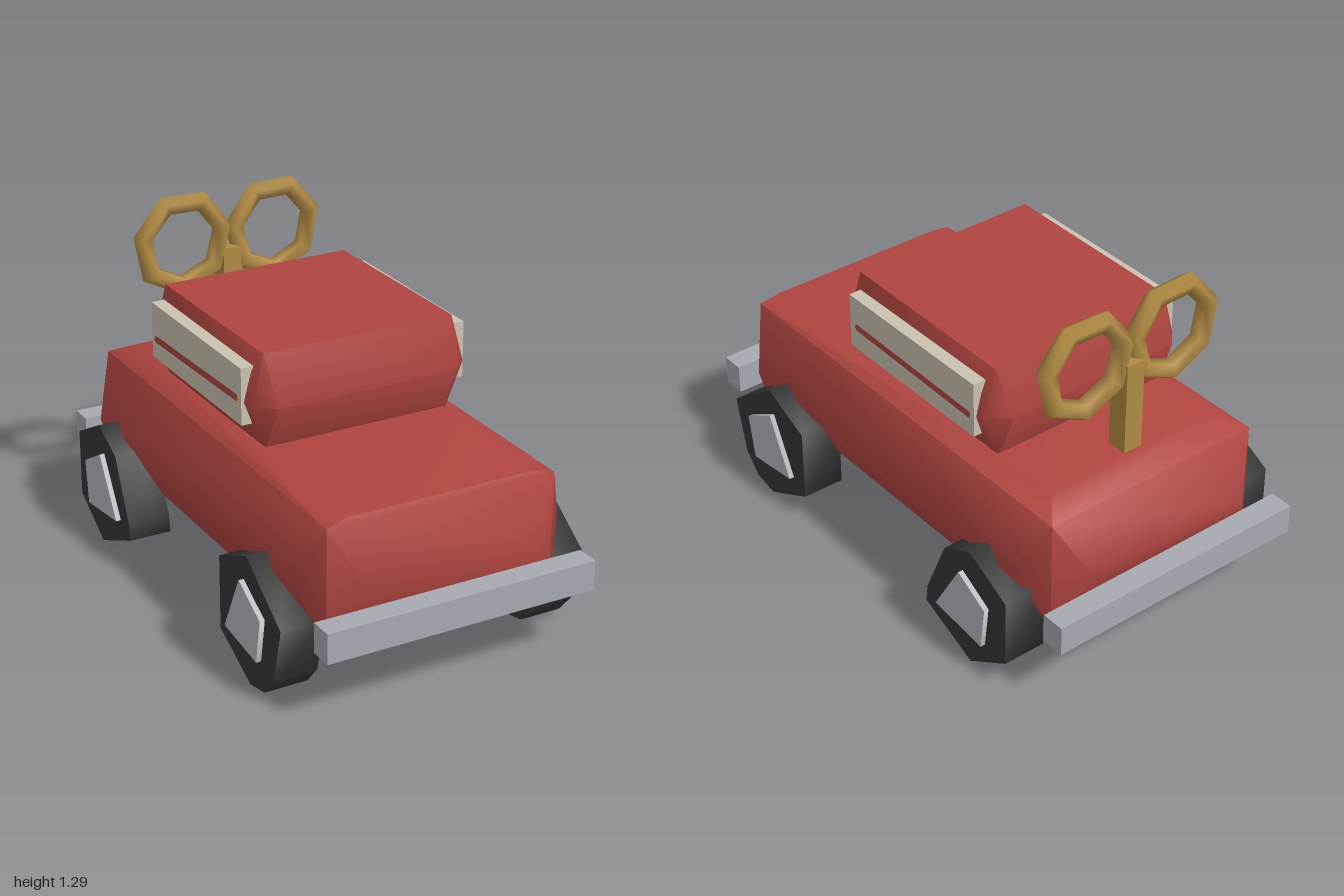
import * as THREE from 'three';
import { toCreasedNormals } from 'three/addons/utils/BufferGeometryUtils.js';
import { ConvexGeometry } from 'three/addons/geometries/ConvexGeometry.js';

const mat = (name, color) => new THREE.MeshStandardMaterial({ name, color });

export function createModel() {
  const red = mat('red paint', 0xb04540);
  const rubber = mat('black rubber', 0x363636);
  const steel = mat('grey steel', 0xa6a9b0);
  const hubSteel = mat('hub silver', 0xb4b6be);
  const cream = mat('cream panel', 0xc9c1b1);
  const brass = mat('brass', 0xb08a42);

  const model = new THREE.Group();
  model.name = 'windUpCar';

  const add = (name, geometry, material, x = 0, y = 0, z = 0) => {
    const mesh = new THREE.Mesh(geometry, material);
    mesh.name = name;
    mesh.position.set(x, y, z);
    model.add(mesh);
    return mesh;
  };

  // Bulged box: convex skin over points listed for one side and mirrored in x
  const bulgedBox = (half) => {
    const points = half.flatMap(([x, y, z]) => [
      new THREE.Vector3(x, y, z), new THREE.Vector3(-x, y, z),
    ]);
    return toCreasedNormals(new ConvexGeometry(points), 0.9);
  };

  // Body: box corners, then the ridges that swell each face
  add('body', bulgedBox([
    [0.44, 0.66, 0.85], [0.44, 0.25, 0.85], [0.44, 0.66, -0.85], [0.44, 0.25, -0.85],
    [0.33, 0.45, 0.945], [0.33, 0.45, -0.945],
    [0.53, 0.44, 0.75], [0.53, 0.44, -0.74],
    [0.36, 0.68, 0.84], [0.36, 0.71, -0.75],
    [0.34, 0.24, 0.8], [0.34, 0.2, -0.77],
  ]), red);

  // Cabin: its side ridges show as a red line through the panels
  add('cabin', bulgedBox([
    [0.37, 1.05, 0.29], [0.36, 0.7, 0.28], [0.37, 1.045, -0.47], [0.36, 0.69, -0.47],
    [0.35, 0.87, 0.36], [0.35, 0.88, -0.54],
    [0.415, 0.87, 0.3], [0.415, 0.87, -0.47],
    [0.447, 0.88, 0.22], [0.447, 0.865, -0.41],
  ]), red);

  // Side panels
  for (const s of [1, -1]) {
    add('sidePanel', new THREE.BoxGeometry(0.05, 0.21, 0.7), cream, s * 0.416, 0.895, -0.09);
  }

  // Bumpers
  for (const s of [1, -1]) {
    add('bumper', new THREE.BoxGeometry(1.04, 0.112, 0.09), steel, 0, 0.315, s * 0.955);
  }

  // Prism with a (z, y) outline, running along x
  const prism = (outline, x0, x1) => {
    const shape = new THREE.Shape(outline.map(([z, y]) => new THREE.Vector2(-z, y)));
    const g = new THREE.ExtrudeGeometry(shape, { depth: x1 - x0, bevelEnabled: false });
    g.rotateY(Math.PI / 2).translate(x0, 0, 0);
    return toCreasedNormals(g, 1.3);
  };

  // Crooked wheels and hubs
  const axles = [
    {
      tyre: [[0.58, 0.48], [0.38, 0.39], [0.38, 0.11], [0.6, 0], [0.7, 0.02], [0.77, 0.1], [0.82, 0.31]],
      hub: [[0.71, 0.3], [0.56, 0.385], [0.45, 0.16], [0.68, 0.13]],
    },
    {
      tyre: [[-0.61, 0.48], [-0.8, 0.38], [-0.8, 0.12], [-0.61, 0], [-0.36, 0.11], [-0.37, 0.18], [-0.47, 0.41]],
      hub: [[-0.57, 0.38], [-0.71, 0.3], [-0.69, 0.13], [-0.44, 0.16]],
    },
  ];
  for (const { tyre, hub } of axles) {
    for (const [x0, x1, hx0, hx1] of [[0.43, 0.594, 0.5, 0.613], [-0.594, -0.43, -0.613, -0.5]]) {
      add('wheel', prism(tyre, x0, x1), rubber);
      add('hub', prism(hub, hx0, hx1), hubSteel);
    }
  }

  // Wind-up key: stem and two loops
  add('keyStem', new THREE.BoxGeometry(0.075, 0.38, 0.08), brass, 0, 0.87, -0.702);
  for (const s of [1, -1]) {
    const loop = add('keyLoop', new THREE.TorusGeometry(0.168, 0.038, 5, 7), brass, s * 0.188, 1.1, -0.7);
    loop.rotation.z = s > 0 ? 0.25 : Math.PI - 0.25;
  }

  return model;
}
